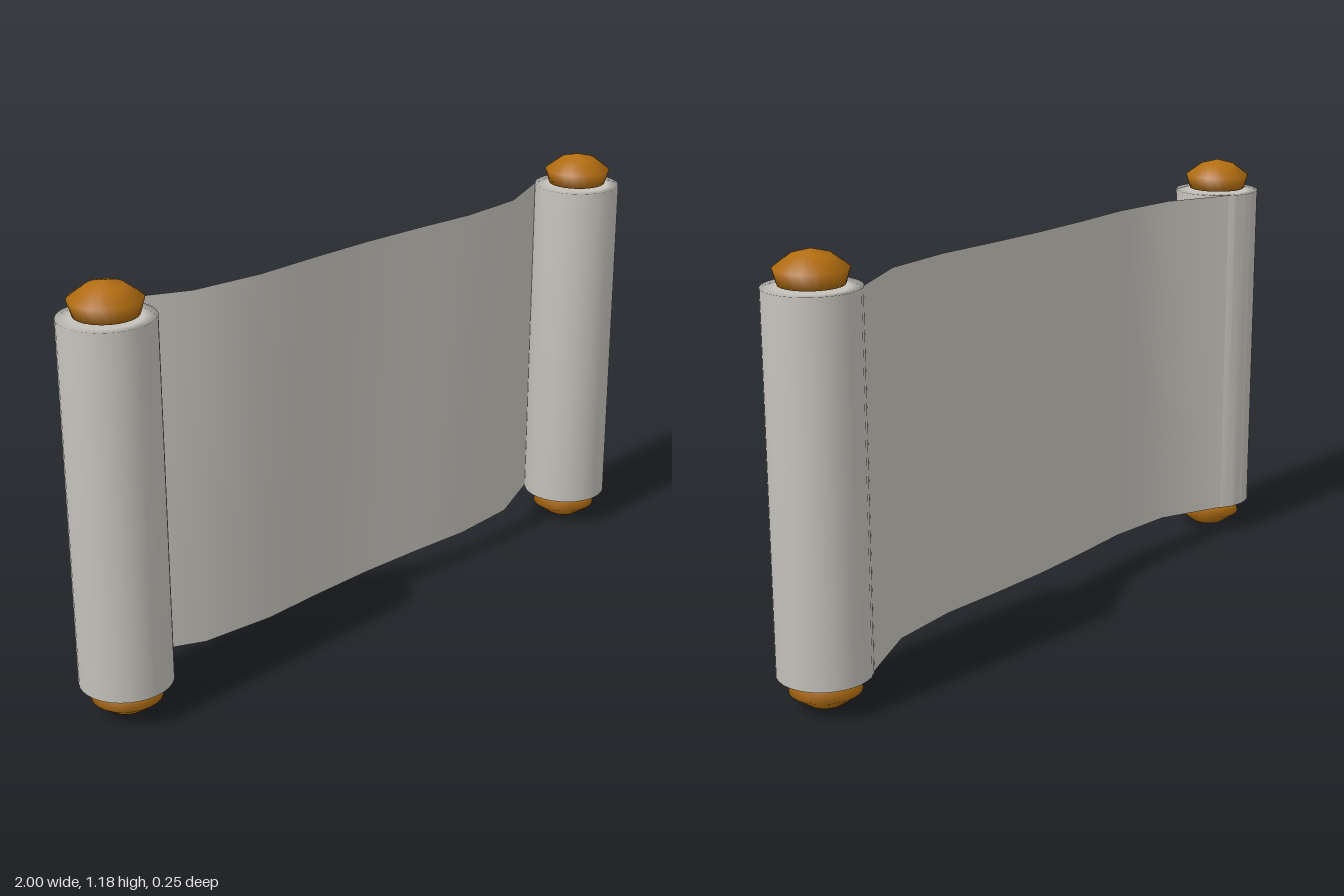
import * as THREE from 'three';

const paper = new THREE.MeshStandardMaterial({ color: 0xc4c2bb, side: THREE.DoubleSide });
paper.name = 'paper';
const wood = new THREE.MeshStandardMaterial({ color: 0xb06c10 });
wood.name = 'wood';

const ROLL_X = 0.875, ROLL_R = 0.125, BOTTOM = 0.1, TOP = 1.1;

function lathe(name, points, segments, material) {
  const profile = points.map(([r, y]) => new THREE.Vector2(r, y));
  const mesh = new THREE.Mesh(new THREE.LatheGeometry(profile, segments), material);
  mesh.name = name;
  return mesh;
}

// One rolled end of the sheet, with a wooden knob above and below
function makeRoller(name, x) {
  const roller = new THREE.Group();
  roller.name = name;
  roller.position.x = x;
  roller.add(lathe('paperRoll', [
    [0, BOTTOM + 0.005], [0.09, BOTTOM + 0.002], [ROLL_R, BOTTOM],
    [ROLL_R, TOP], [0.09, TOP - 0.002], [0, TOP - 0.005],
  ], 32, paper));

  const knobProfile = [[0, -0.005], [0.083, 0.005], [0.095, 0.046], [0.05, 0.079], [0, 0.092]];
  const topKnob = lathe('topKnob', knobProfile, 24, wood);
  topKnob.position.y = TOP;
  const bottomKnob = lathe('bottomKnob', knobProfile, 24, wood);
  bottomKnob.position.y = BOTTOM;
  bottomKnob.rotation.x = Math.PI;
  roller.add(topKnob, bottomKnob);
  return roller;
}

// Gently waving sheet that wraps onto the back of both rolls
function makeSheet() {
  const half = [[0, -0.005], [0.2, 0], [0.39, 0.01], [0.6, -0.008], [0.79, -0.092], [0.825, -0.116], [0.875, -0.126]];
  const path = [...half.slice(1).reverse().map(([x, z]) => [-x, z]), ...half];
  const geometry = new THREE.PlaneGeometry(1, 1, path.length - 1, 1);
  const pos = geometry.attributes.position;
  for (let i = 0; i < pos.count; i++) {
    const [x, z] = path[i % path.length];
    pos.setXYZ(i, x, i < path.length ? TOP : BOTTOM, z);
  }
  geometry.computeVertexNormals();
  const sheet = new THREE.Mesh(geometry, paper);
  sheet.name = 'sheet';
  return sheet;
}

export function createModel() {
  const scroll = new THREE.Group();
  scroll.name = 'scroll';
  scroll.add(makeRoller('leftRoller', ROLL_X), makeRoller('rightRoller', -ROLL_X), makeSheet());
  return scroll;
}
